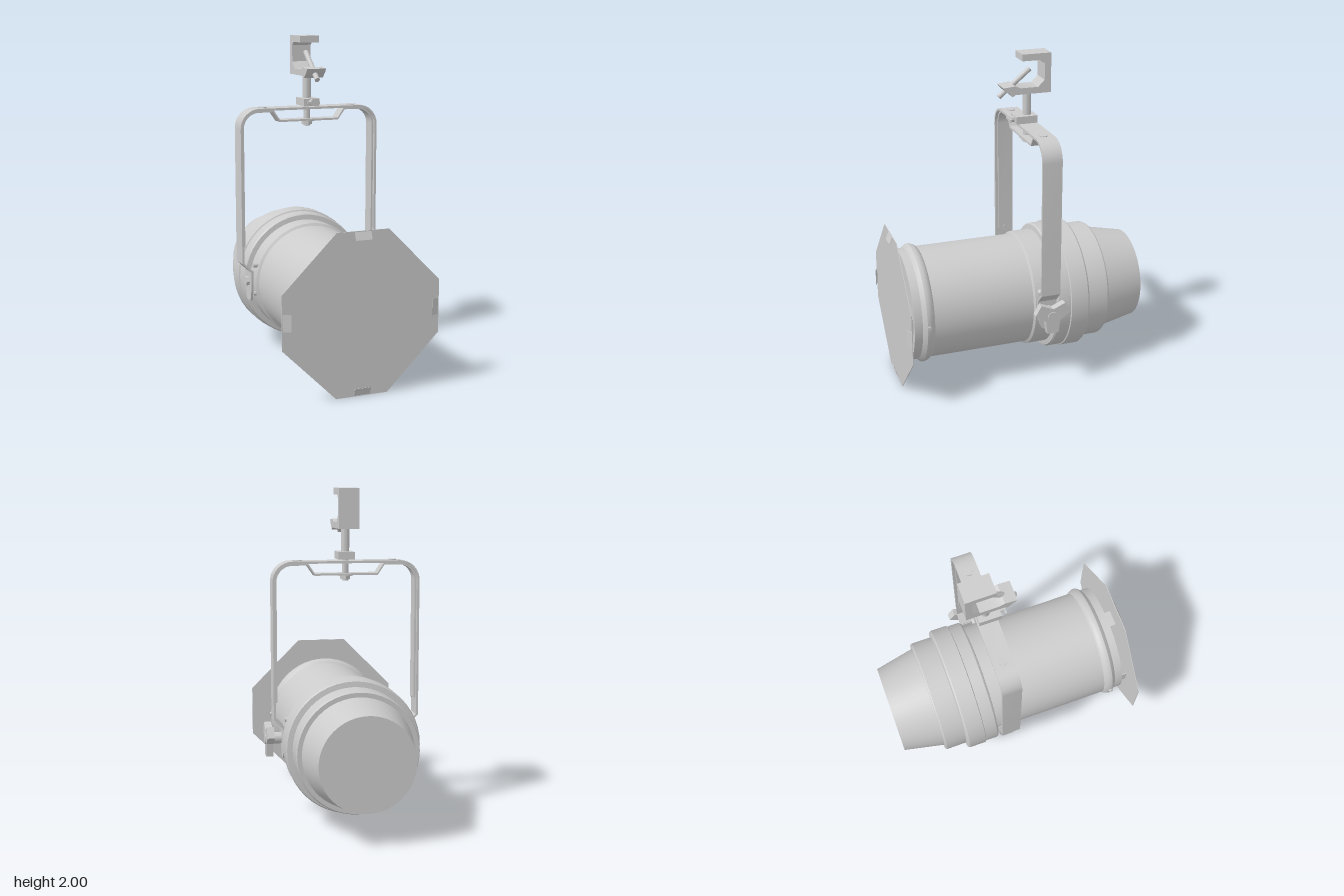
import * as THREE from 'three';
import { toCreasedNormals } from 'three/addons/utils/BufferGeometryUtils.js';

const mat = new THREE.MeshStandardMaterial({ color: 0xcccccc, side: THREE.DoubleSide });
const AXIS_Y = 0.483, YOKE_Z = -0.105;

export function createModel() {
  const root = new THREE.Group();
  root.name = 'stageLamp';
  const lamp = new THREE.Group();
  lamp.name = 'lamp';
  lamp.position.x = -0.01;
  root.add(lamp);

  const add = (name, geo, x = 0, y = 0, z = 0) => {
    const m = new THREE.Mesh(toCreasedNormals(geo, 0.5), mat);
    m.name = name;
    m.position.set(x, y, z);
    lamp.add(m);
    return m;
  };
  const box = (name, w, h, d, x, y, z) => add(name, new THREE.BoxGeometry(w, h, d), x, y, z);
  const rod = (name, r, len, x, y, z, axis = 'y', sides = 20) => {
    const g = new THREE.CylinderGeometry(r, r, len, sides);
    if (axis === 'x') g.rotateZ(Math.PI / 2);
    if (axis === 'z') g.rotateX(Math.PI / 2);
    return add(name, g, x, y, z);
  };
  const shapeOf = pts => new THREE.Shape(pts.map(p => new THREE.Vector2(p[0], p[1])));
  const extrude = (shape, depth) =>
    new THREE.ExtrudeGeometry(shape, { depth, bevelEnabled: false }).translate(0, 0, -depth / 2);
  // outline given as (z, y), thickness running along x
  const sideExtrude = (pts, width) => extrude(shapeOf(pts), width).rotateY(-Math.PI / 2);
  // flat strap following a path in the xy plane
  const strap = (path, t, width) => {
    const inner = path.map((p, i) => {
      const a = path[Math.max(i - 1, 0)], b = path[Math.min(i + 1, path.length - 1)];
      const dx = b[0] - a[0], dy = b[1] - a[1], l = Math.hypot(dx, dy);
      return [p[0] + dy / l * t, p[1] - dx / l * t];
    });
    return extrude(shapeOf([...path, ...inner.reverse()]), width);
  };
  const mirrored = half => [...half, ...half.map(p => [-p[0], p[1]]).reverse()];
  const corner = (x, y, r) => Array.from({ length: 9 }, (_, i) => {
    const a = i / 8 * Math.PI / 2;
    return [x + r - r * Math.cos(a), y - r + r * Math.sin(a)];
  });

  // Can: profile as (radius, z) from the rear cap to the open front
  const profile = [
    [0, -0.78], [0.28, -0.78], [0.333, -0.525], [0.36, -0.525], [0.366, -0.515], [0.366, -0.385],
    [0.398, -0.38], [0.405, -0.37], [0.405, -0.262], [0.397, -0.258], [0.397, -0.18], [0.39, -0.17],
    [0.36, -0.165], [0.36, -0.045], [0.345, -0.035], [0.345, 0.585], [0.352, 0.59], [0.362, 0.605],
    [0.367, 0.62], [0.367, 0.635], [0.357, 0.648], [0.345, 0.66], [0.345, 0.71],
    [0.335, 0.71], [0.335, 0.66], [0, 0.66],
  ].map(p => new THREE.Vector2(p[0], p[1]));
  add('can', new THREE.LatheGeometry(profile, 48).rotateX(Math.PI / 2), 0, AXIS_Y, 0);

  // Octagonal plate carried by four bent clips
  const h = 0.48, c = 0.158;
  const octagon = [[c, h], [-c, h], [-h, c], [-h, -c], [-c, -h], [c, -h], [h, -c], [h, c]];
  add('filterPlate', extrude(shapeOf(octagon), 0.004), 0, 0.481, 0.757);
  const clip = [[0.71, 0.308], [0.755, 0.308], [0.755, 0.312], [0.71, 0.312]];
  const lip = [[0.757, 0.48], [0.777, 0.43], [0.774, 0.43], [0.754, 0.48]];
  for (let i = 0; i < 4; i++) {
    for (const [name, pts] of [['clip', clip], ['plateLip', lip]]) {
      add(name, sideExtrude(pts, 0.1), 0, 0.481, 0).rotation.z = i * Math.PI / 2;
    }
  }

  // Yoke: outer strap, stiffening strip with dropped centre, pivot tabs
  add('yoke', strap(mirrored([[-0.383, 0.55], [-0.39, 0.56], [-0.447, 0.62], ...corner(-0.447, 1.57, 0.12)]),
    0.014, 0.12), 0, 0, YOKE_Z);
  add('yokeStiffener', strap(mirrored([[-0.433, 0.72], ...corner(-0.433, 1.556, 0.106),
    [-0.23, 1.556], [-0.19, 1.495]]), 0.012, 0.085), 0, 0, YOKE_Z);
  const tab = [[-0.06, 0.57], [-0.06, 0.48], [-0.045, 0.4], [-0.03, 0.375],
    [0.03, 0.375], [0.045, 0.4], [0.06, 0.48], [0.06, 0.57]];
  for (const s of [-1, 1]) {
    add('pivotTab', sideExtrude(tab, 0.014), s * 0.383, 0, YOKE_Z);
    rod('yokeRivet', 0.025, 0.01, s * 0.289, 1.57, YOKE_Z);
    rod('strapStop', 0.012, 0.03, s * 0.432, 0.73, YOKE_Z, 'x', 12);
    rod('beadScrew', 0.013, 0.02, s * 0.365, AXIS_Y, 0.625, 'x', 12);
    for (const y of [0.42, 0.6]) rod('collarScrew', 0.015, 0.05, s * 0.345, y, -0.075, 'x', 12);
  }
  rod('pivotBolt', 0.03, 0.03, -0.395, 0.497, YOKE_Z, 'x', 6);

  // Three-lobed locking knob
  const knob = [];
  for (let i = 0; i < 3; i++) {
    const a = -Math.PI / 2 + i * Math.PI * 2 / 3;
    for (const [da, r] of [[-0.32, 0.113], [0.32, 0.113], [Math.PI / 3, 0.052]]) {
      knob.push([Math.cos(a + da) * r, Math.sin(a + da) * r]);
    }
  }
  add('knob', sideExtrude(knob, 0.044), 0.47, 0.497, YOKE_Z);
  rod('knobHub', 0.035, 0.1, 0.447, 0.497, YOKE_Z, 'x');

  // Spigot with its collar, wing screw and lower nut
  rod('spigot', 0.025, 0.2, 0, 1.68, YOKE_Z);
  rod('spigotBolt', 0.02, 0.15, 0, 1.525, YOKE_Z);
  rod('washer', 0.047, 0.01, 0, 1.484, YOKE_Z);
  rod('nut', 0.032, 0.022, 0, 1.47, YOKE_Z, 'y', 6);
  box('spigotCollar', 0.1, 0.045, 0.135, 0, 1.6, -0.09);
  rod('collarBolt', 0.02, 0.03, 0, 1.6, -0.01, 'z', 12);
  box('wingHandle', 0.08, 0.014, 0.01, 0, 1.6, 0.006);

  // Hook clamp and its slanted clamping bolt
  const hook = [[-0.235, 2], [-0.055, 2], [-0.055, 1.96], [-0.172, 1.96], [-0.195, 1.94], [-0.195, 1.84],
    [-0.155, 1.8], [-0.045, 1.8], [-0.01, 1.815], [0.035, 1.81], [0.062, 1.808], [0.045, 1.785], [0.005, 1.75],
    [-0.015, 1.762], [-0.235, 1.762]];
  add('hookClamp', sideExtrude(hook, 0.122));
  rod('clampBolt', 0.016, 0.25, 0, 1.821, -0.025).rotation.x = -Math.atan2(0.195, 0.16);

  return root;
}
